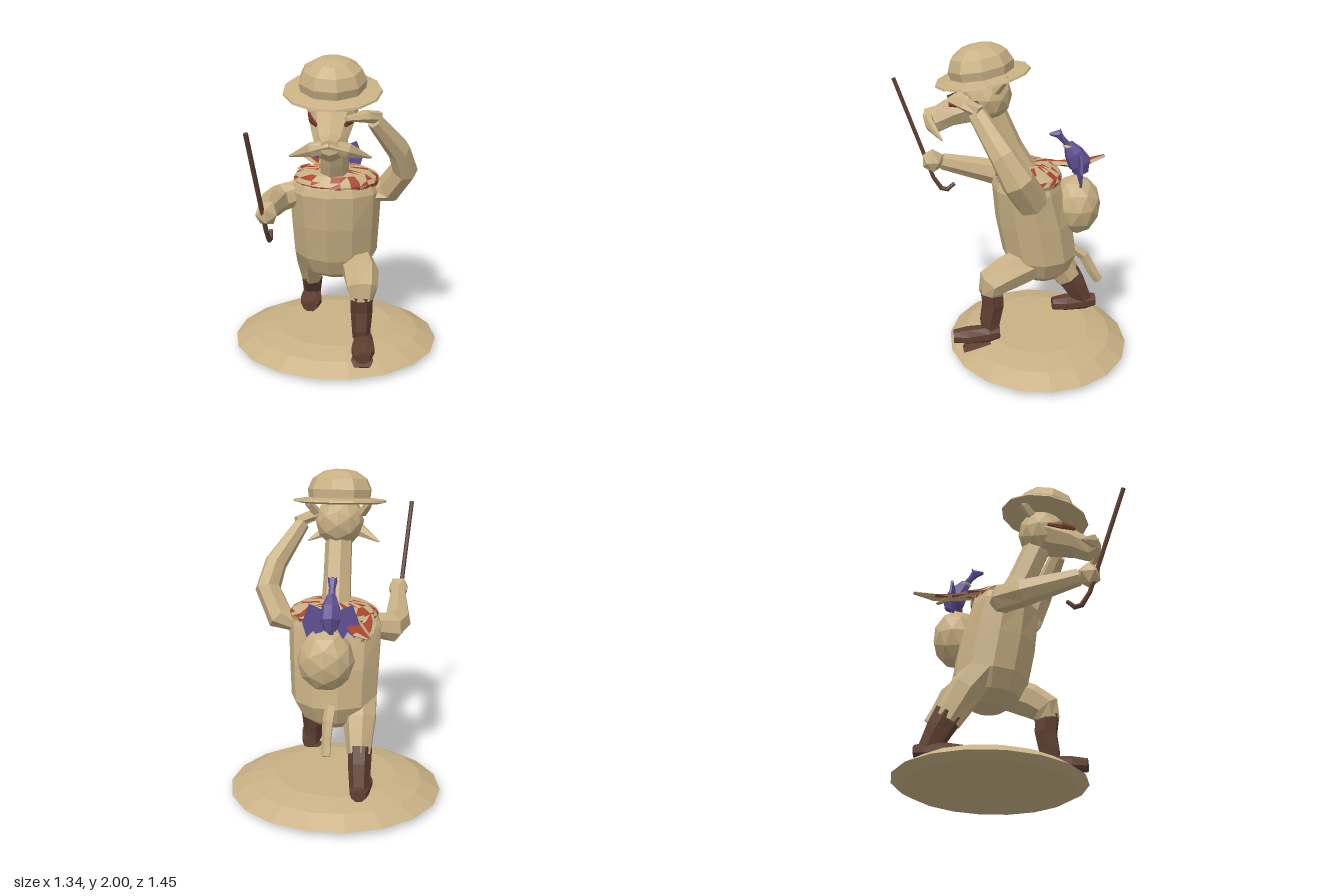
import * as THREE from 'three';

const mat = (name, color) => {
  const m = new THREE.MeshStandardMaterial({ color });
  m.name = name;
  return m;
};

// Faceted copy of a geometry: every face gets its own normal
const flat = (g) => {
  const f = g.index ? g.toNonIndexed() : g;
  f.computeVertexNormals();
  return f;
};

// Closed skin over elliptical rings [x, y, z, r1, r2] strung along a path.
// fixed: constant ring direction; ref: direction of the first radius.
function loft(rings, sides = 7, { fixed = null, ref = [1, 0, 0], twist = 0 } = {}) {
  const c = rings.map((r) => new THREE.Vector3(r[0], r[1], r[2]));
  const pos = [], idx = [];
  const n = rings.length;
  rings.forEach((r, i) => {
    const t = fixed ? new THREE.Vector3(...fixed)
      : c[Math.min(i + 1, n - 1)].clone().sub(c[Math.max(i - 1, 0)]).normalize();
    const u = new THREE.Vector3(...ref);
    u.addScaledVector(t, -u.dot(t)).normalize();
    const v = t.clone().cross(u);
    for (let k = 0; k < sides; k++) {
      const a = (k / sides) * Math.PI * 2 + twist;
      const p = c[i].clone().addScaledVector(u, r[3] * Math.cos(a))
        .addScaledVector(v, (r[4] ?? r[3]) * Math.sin(a));
      pos.push(p.x, p.y, p.z);
    }
  });
  pos.push(...c[0].toArray(), ...c[n - 1].toArray());
  const first = n * sides, last = first + 1;
  for (let k = 0; k < sides; k++) {
    const k1 = (k + 1) % sides;
    for (let i = 0; i < n - 1; i++) {
      const a = i * sides + k, b = i * sides + k1;
      idx.push(a, b, b + sides, a, b + sides, a + sides);
    }
    idx.push(first, k1, k, last, (n - 1) * sides + k, (n - 1) * sides + k1);
  }
  const g = new THREE.BufferGeometry();
  g.setAttribute('position', new THREE.Float32BufferAttribute(pos, 3));
  g.setIndex(idx);
  return flat(g);
}

// Faceted ellipsoid
function blob(x, y, z, rx, ry, rz, detail = 1) {
  const g = new THREE.IcosahedronGeometry(1, detail);
  g.scale(rx, ry, rz);
  g.translate(x, y, z);
  return flat(g);
}

// Scatter the second material over some of the triangles
function spotted(g, share) {
  let seed = 7;
  for (let i = 0; i < g.attributes.position.count; i += 3) {
    seed = (seed * 16807) % 2147483647;
    g.addGroup(i, 3, seed / 2147483647 < share ? 1 : 0);
  }
  return g;
}

export function createModel() {
  const tan = mat('tan', 0xc8b084);
  const brown = mat('brown leather', 0x5f4032);
  const red = mat('scarf red', 0xa9452f);
  const dark = mat('eye brown', 0x74392a);
  const purple = mat('purple', 0x5f4f92);
  const model = new THREE.Group();
  const add = (name, geometry, material, parent = model) => {
    const m = new THREE.Mesh(geometry, material);
    m.name = name;
    parent.add(m);
    return m;
  };
  const up = { fixed: [0, 1, 0] };

  // Rounded oval base
  add('base', loft([[0, 0, -0.155, 0.6, 0.51], [0, 0.035, -0.155, 0.67, 0.575],
    [0, 0.1, -0.155, 0.55, 0.47], [0, 0.135, -0.155, 0.38, 0.33]], 18, up), tan);
  add('footprint', loft([[0.19, 0.133, 0.17, 0.05, 0.006], [0.19, 0.104, 0.3, 0.07, 0.006],
    [0.19, 0.082, 0.34, 0.05, 0.006]], 8), brown);

  // Barrel torso and pack
  add('torso', loft([[0, 0.5, -0.18, 0.12, 0.1], [0, 0.56, -0.17, 0.21, 0.185],
    [0, 0.67, -0.165, 0.268, 0.235], [0, 0.9, -0.125, 0.28, 0.24],
    [0, 1.12, -0.08, 0.29, 0.215], [0, 1.17, -0.08, 0.268, 0.2],
    [0, 1.2, -0.08, 0.22, 0.16]], 11, up), tan);
  add('pack', blob(0.03, 0.985, -0.385, 0.17, 0.19, 0.155), tan);
  add('tail', loft([[0, 0.69, -0.36, 0.035, 0.03], [0.01, 0.62, -0.45, 0.035, 0.035],
    [0.015, 0.52, -0.5, 0.03, 0.035], [0.015, 0.44, -0.55, 0.03, 0.03]], 5), tan);

  // Spotted scarf with two loose ends
  add('scarf', spotted(loft([[0.01, 1.16, -0.09, 0.262, 0.2], [0.01, 1.185, -0.09, 0.27, 0.205],
    [0.01, 1.21, -0.09, 0.255, 0.19], [0.01, 1.24, -0.08, 0.2, 0.15],
    [0, 1.25, -0.07, 0.1, 0.1]], 26, up), 0.35), [tan, red]);
  const scarfEnds = [
    [[-0.1, 1.21, -0.25, 0.03, 0.012], [-0.14, 1.2, -0.38, 0.05, 0.015],
      [-0.18, 1.19, -0.49, 0.05, 0.015], [-0.235, 1.205, -0.61, 0.012, 0.008]],
    [[-0.2, 1.2, -0.17, 0.03, 0.012], [-0.215, 1.18, -0.27, 0.04, 0.012],
      [-0.215, 1.16, -0.36, 0.035, 0.012], [-0.19, 1.14, -0.47, 0.012, 0.008]],
  ];
  for (const e of scarfEnds) add('scarfEnd', spotted(loft(e, 6), 0.5), [tan, red]);

  // Neck, head and muzzle
  add('neck', loft([[0, 1.17, -0.07, 0.095, 0.1], [0, 1.35, 0.03, 0.088, 0.09],
    [0, 1.6, 0.14, 0.085, 0.09]], 7), tan);
  add('head', blob(0, 1.69, 0.165, 0.15, 0.16, 0.155), tan);
  add('muzzle', loft([[0, 1.66, 0.2, 0.14, 0.125], [0, 1.605, 0.36, 0.11, 0.095],
    [0, 1.55, 0.465, 0.082, 0.085], [0, 1.57, 0.535, 0.055, 0.045]], 8, { fixed: [0, 0, 1] }), tan);
  for (const s of [-1, 1]) {
    add('moustache', loft([[0, 1.58, 0.515, 0.03, 0.03], [s * 0.1, 1.55, 0.505, 0.03, 0.045],
      [s * 0.23, 1.49, 0.44, 0.006, 0.006]], 6, { ref: [0, 0, 1] }), tan);
    add('eye', loft([[s * 0.134, 1.68, 0.22, 0.008, 0.012], [s * 0.118, 1.67, 0.31, 0.012, 0.024],
      [s * 0.082, 1.66, 0.39, 0.008, 0.014]], 6), dark);
    add('ear', loft([[s * 0.14, 1.75, 0.12, 0.03], [s * 0.18, 1.81, 0.08, 0.025],
      [s * 0.205, 1.85, 0.055, 0.006]], 5), tan);
  }

  // Round hat tipped forward
  const hat = new THREE.Group();
  hat.name = 'hat';
  hat.position.set(0, 1.807, 0.185);
  hat.rotation.x = 0.177;
  model.add(hat);
  add('brim', loft([[0, -0.015, 0, 0.24], [0, -0.004, 0, 0.29], [0, 0.008, 0, 0.285],
    [0, 0.02, 0, 0.2]], 13, up), tan, hat);
  add('crown', loft([[0, 0, 0, 0.19], [0, 0.07, 0, 0.2], [0, 0.135, 0, 0.17],
    [0, 0.18, 0, 0.1], [0, 0.192, 0, 0.03]], 9, up), tan, hat);

  // Left arm raised to the brow
  add('leftArm', loft([[0.25, 1.1, -0.08, 0.05, 0.08], [0.34, 1.13, -0.07, 0.085, 0.1],
    [0.43, 1.29, 0.02, 0.08, 0.1], [0.39, 1.43, 0.1, 0.07, 0.08],
    [0.24, 1.65, 0.24, 0.045, 0.055]], 7), tan);
  add('leftHand', loft([[0.27, 1.66, 0.22, 0.03, 0.04], [0.19, 1.685, 0.29, 0.05, 0.035],
    [0.09, 1.695, 0.39, 0.025, 0.012]], 6, { ref: [0, 0, 1] }), tan);

  // Right arm held forward with a walking cane
  add('rightArm', loft([[-0.22, 1.1, -0.06, 0.08, 0.08], [-0.34, 1.07, -0.02, 0.09, 0.085],
    [-0.37, 1.075, 0.09, 0.085, 0.085], [-0.36, 1.16, 0.43, 0.055, 0.05]], 7,
    { ref: [0, 1, 0] }), tan);
  add('rightHand', blob(-0.36, 1.165, 0.49, 0.072, 0.078, 0.075, 0), tan);
  add('cane', loft([[-0.43, 1.7, 0.72, 0.014], [-0.365, 1.05, 0.49, 0.014],
    [-0.355, 0.975, 0.44, 0.016], [-0.355, 0.965, 0.4, 0.016],
    [-0.355, 1.005, 0.355, 0.012]], 6), brown);

  // Left leg striding forward
  add('leftThigh', loft([[0.13, 0.64, -0.08, 0.11, 0.11], [0.17, 0.6, 0.05, 0.115, 0.11],
    [0.18, 0.54, 0.15, 0.1, 0.1], [0.18, 0.47, 0.16, 0.075, 0.08]], 7), tan);
  add('leftBoot', loft([[0.18, 0.2, 0.17, 0.055, 0.06], [0.18, 0.27, 0.17, 0.06, 0.07],
    [0.18, 0.39, 0.15, 0.07, 0.075], [0.18, 0.5, 0.16, 0.07, 0.08]], 6, up), brown);

  // Right leg pushing off behind
  add('rightThigh', loft([[-0.15, 0.7, -0.16, 0.12, 0.12], [-0.165, 0.57, -0.27, 0.105, 0.11],
    [-0.17, 0.38, -0.385, 0.075, 0.09]], 7), tan);
  add('rightBoot', loft([[-0.175, 0.42, -0.37, 0.072, 0.095], [-0.175, 0.33, -0.425, 0.07, 0.085],
    [-0.18, 0.2, -0.49, 0.06, 0.065]], 6), brown);

  // Shoes
  const shoes = [['leftShoe', 0.195, 0.11], ['rightShoe', -0.18, -0.57]];
  for (const [name, x, z] of shoes) {
    add(name, loft([[x, 0.195, z, 0.045, 0.04], [x, 0.19, z + 0.07, 0.062, 0.055],
      [x, 0.185, z + 0.2, 0.078, 0.05], [x, 0.18, z + 0.29, 0.05, 0.04]], 8,
      { fixed: [0, 0, 1], twist: Math.PI / 8 }), brown);
  }

  // Small winged companion riding on the pack
  const pet = new THREE.Group();
  pet.name = 'wingedPet';
  model.add(pet);
  add('petBody', loft([[0, 1.18, -0.43, 0.035, 0.04], [0, 1.24, -0.41, 0.06, 0.075],
    [0, 1.31, -0.37, 0.055, 0.06], [0, 1.37, -0.335, 0.025, 0.03]], 7), purple, pet);
  add('petCollar', blob(0, 1.355, -0.335, 0.035, 0.015, 0.035), tan, pet);
  add('petNeck', loft([[0, 1.35, -0.345, 0.02], [0, 1.4, -0.3, 0.02], [0, 1.435, -0.275, 0.028],
    [0, 1.435, -0.22, 0.008]], 6), purple, pet);
  add('petTail', loft([[0, 1.2, -0.41, 0.03], [0, 1.09, -0.395, 0.008]], 5), purple, pet);
  for (const s of [-1, 1]) {
    add('petCrest', loft([[s * 0.012, 1.42, -0.275, 0.012], [s * 0.025, 1.46, -0.29, 0.003]], 4), purple, pet);
    const wing = new THREE.Shape([[0.02, 1.28], [0.08, 1.31], [0.125, 1.33], [0.165, 1.22],
      [0.14, 1.13], [0.1, 1.17], [0.07, 1.12], [0.03, 1.2]]
      .map(([x, y]) => new THREE.Vector2(s * x, y)));
    const g = new THREE.ExtrudeGeometry(wing, { depth: 0.014, bevelEnabled: false });
    g.translate(0, 0, -0.402);
    add('petWing', g, purple, pet);
  }
  return model;
}
